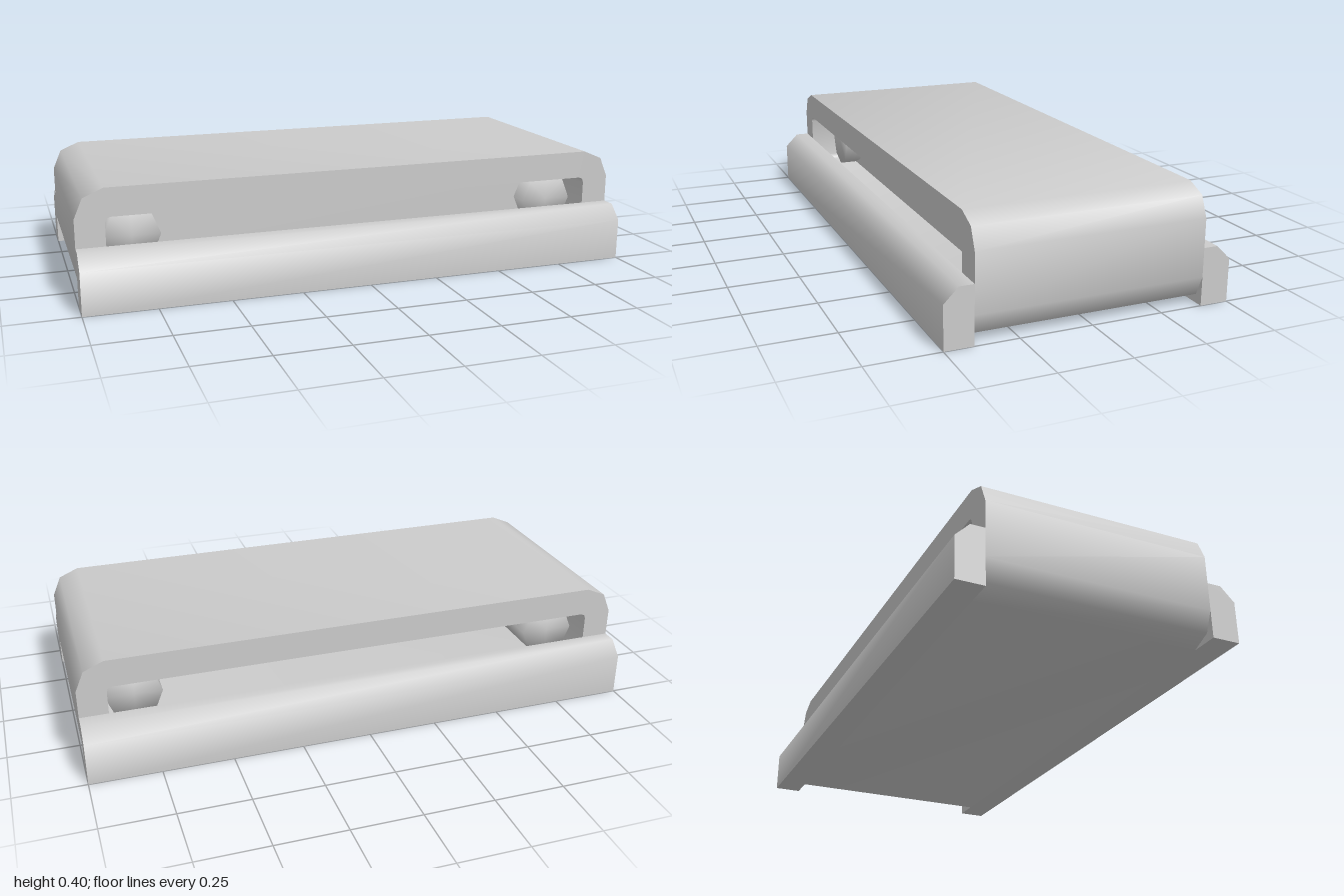
import * as THREE from 'three';
import { toCreasedNormals } from 'three/addons/utils/BufferGeometryUtils.js';

const material = new THREE.MeshStandardMaterial({ color: 0xcccccc });

function addPart(group, name, geometry) {
  const mesh = new THREE.Mesh(geometry, material);
  mesh.name = name;
  group.add(mesh);
  return mesh;
}

const toPoints = (list) => list.map(([x, y]) => new THREE.Vector2(x, y));

// Rectangle with corners cut in short steps; corner lists [inset x, inset y] offsets
function loopPoints(halfW, y0, y1, corner) {
  const back = [...corner].reverse();
  return toPoints([
    ...corner.map(([a, b]) => [halfW - a, y0 + b]).reverse(),
    ...back.map(([a, b]) => [halfW - a, y1 - b]).reverse(),
    ...corner.map(([a, b]) => [-halfW + a, y1 - b]).reverse(),
    ...back.map(([a, b]) => [-halfW + a, y0 + b]).reverse(),
  ]);
}

// Straight extrusion centred on z, smooth over shallow bends
function extrudeCentred(shape, depth) {
  const geometry = new THREE.ExtrudeGeometry(shape, { depth, bevelEnabled: false });
  geometry.translate(0, 0, -depth / 2);
  return toCreasedNormals(geometry, Math.PI / 3);
}

export function createModel() {
  const group = new THREE.Group();
  group.name = 'conveyor';

  // Belt loop
  const belt = new THREE.Shape(loopPoints(1, 0, 0.4, [[0, 0.1], [0.03, 0.03], [0.1, 0]]));
  belt.holes.push(new THREE.Path(loopPoints(0.9, 0.1, 0.3, [[0, 0.02], [0.005, 0.005], [0.02, 0]])));
  addPart(group, 'belt', extrudeCentred(belt, 0.8));

  // Side rails with a chamfered outer top edge
  for (const side of [1, -1]) {
    const profile = [[0.4, 0], [0.5, 0], [0.5, 0.15], [0.45, 0.2], [0.4, 0.2]];
    const shape = new THREE.Shape(toPoints(profile.map(([z, y]) => [-side * z, y])));
    const rail = extrudeCentred(shape, 2);
    rail.rotateY(Math.PI / 2);
    addPart(group, side > 0 ? 'frontRail' : 'backRail', rail);
  }

  // Eight-sided rollers at both ends of the loop
  for (const side of [1, -1]) {
    const roller = new THREE.CylinderGeometry(0.1, 0.1, 0.6, 8);
    roller.rotateX(Math.PI / 2);
    const mesh = addPart(group, side > 0 ? 'leftRoller' : 'rightRoller', toCreasedNormals(roller, Math.PI * 0.6));
    mesh.position.set(side * 0.8, 0.2, 0);
  }

  // Inner panel closing the gap between the belt runs
  const panel = addPart(group, 'innerPanel', new THREE.BoxGeometry(1.8, 0.2, 0.02));
  panel.position.set(0, 0.2, 0.22);

  return group;
}
